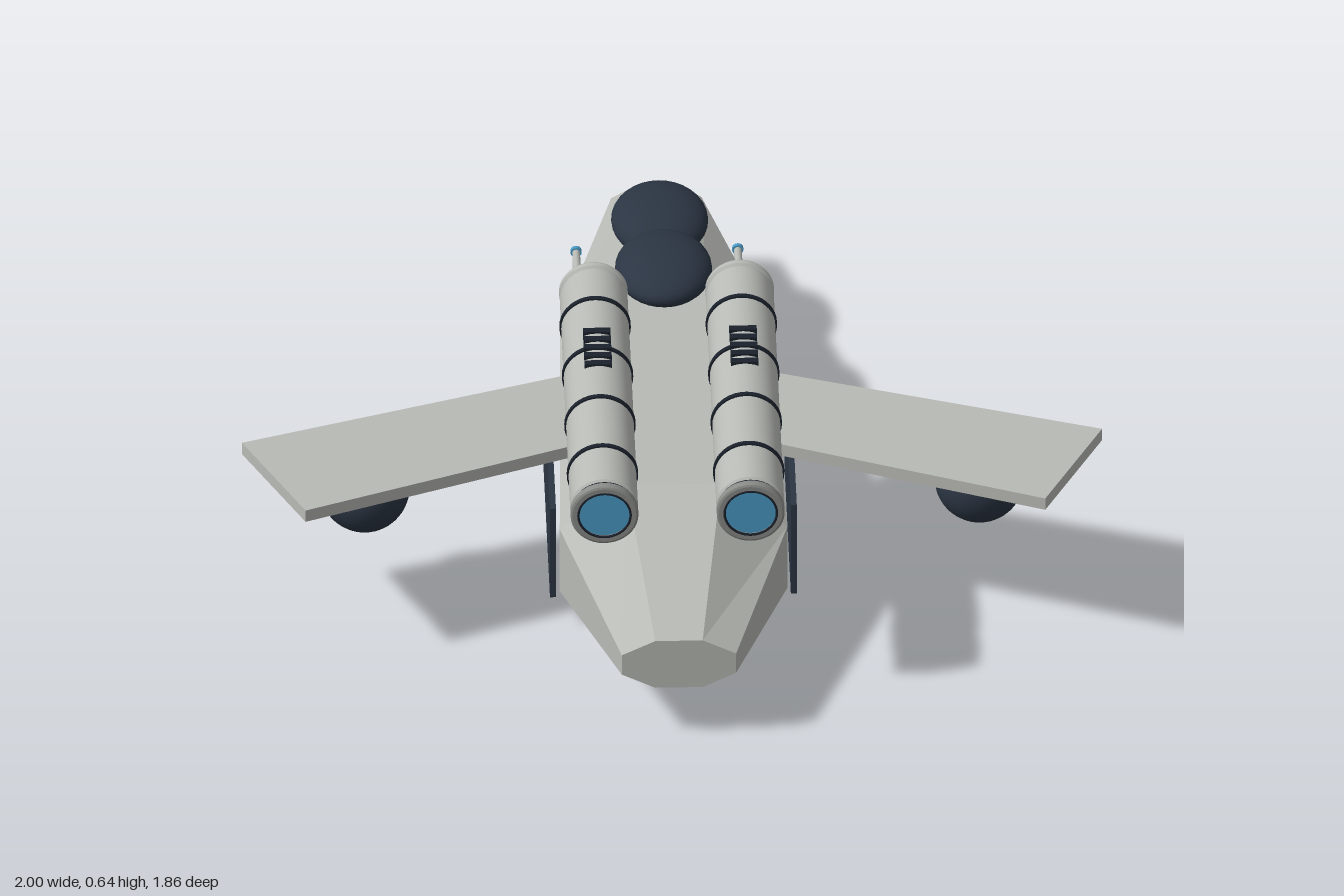
import * as THREE from 'three';

const mat = (name, color, side = THREE.FrontSide) => {
  const m = new THREE.MeshStandardMaterial({ color, side });
  m.name = name;
  return m;
};

export function createModel() {
  const hullGrey = mat('hull grey', 0xb8bab5);
  const trimGrey = mat('trim grey', 0x8a8c88);
  const navy = mat('dark navy', 0x2b3543);
  const black = mat('band black', 0x1a212b);
  const blue = mat('glow blue', 0x4a9ac4);

  const model = new THREE.Group();
  model.name = 'spacecraft';
  const add = (parent, name, geometry, material, x = 0, y = 0, z = 0) => {
    const mesh = new THREE.Mesh(geometry, material);
    mesh.name = name;
    mesh.position.set(x, y, z);
    parent.add(mesh);
    return mesh;
  };
  // Cylinder along z; r1 is the radius at the +z end
  const rod = (r1, r2, length, sides = 32) =>
    new THREE.CylinderGeometry(r1, r2, length, sides).rotateX(Math.PI / 2);
  // Lathe along z from [radius, z] points; repeated points keep an edge sharp
  const turned = (points) => {
    const sharp = points.flatMap(([r, z]) => [new THREE.Vector2(r, z), new THREE.Vector2(r, z)]);
    return new THREE.LatheGeometry(sharp.slice(1, -1), 40).rotateX(Math.PI / 2);
  };

  // Faceted hull: octagonal sections [z, half width, half height]
  const sections = [
    [-0.93, 0.105, 0.066], [-0.36, 0.24, 0.197], [0.5, 0.265, 0.21], [0.93, 0.133, 0.066],
  ];
  const positions = [], index = [];
  const k8 = 1 / Math.cos(Math.PI / 8);
  for (const [z, w, h] of sections) {
    for (let k = 0; k < 8; k++) {
      const a = (k + 0.5) * Math.PI / 4;
      positions.push(w * k8 * Math.cos(a), 0.21 + h * k8 * Math.sin(a), z);
    }
  }
  for (let s = 0; s < 3; s++) {
    for (let k = 0; k < 8; k++) {
      const a = s * 8 + k, b = s * 8 + (k + 1) % 8;
      index.push(a, b, b + 8, a, b + 8, a + 8);
    }
  }
  for (let k = 1; k < 7; k++) index.push(0, k + 1, k, 24, 24 + k, 25 + k);
  let hull = new THREE.BufferGeometry();
  hull.setAttribute('position', new THREE.Float32BufferAttribute(positions, 3));
  hull.setIndex(index);
  hull = hull.toNonIndexed();
  hull.computeVertexNormals();
  add(model, 'hull', hull, hullGrey);

  // Two canopy domes
  const dome = new THREE.SphereGeometry(1, 32, 20).scale(0.113, 0.054, 0.14);
  add(model, 'upperDome', dome, navy, 0, 0.455, -0.33);
  add(model, 'lowerDome', dome, navy, 0, 0.37, -0.65);

  // Engine geometry shared by both sides
  const casing = turned([
    [0.062, -0.075], [0.066, -0.1], [0.075, -0.105], [0.08, -0.095], [0.08, -0.085],
    [0.074, -0.08], [0.074, -0.07], [0.079, -0.065], [0.079, 0.785], [0.073, 0.79],
  ]);
  const intakeRim = turned([
    [0.073, 0.787], [0.073, 0.797], [0.079, 0.8], [0.079, 0.818], [0.074, 0.82], [0.062, 0.82], [0.06, 0.805],
  ]);

  const buildEngine = (x) => {
    const engine = new THREE.Group();
    engine.name = 'engine';
    engine.position.set(x, 0.557, 0);
    add(engine, 'engineCasing', casing, hullGrey);
    add(engine, 'engineRim', intakeRim, trimGrey);
    add(engine, 'rimGroove', rod(0.075, 0.075, 0.008), black, 0, 0, 0.795);
    add(engine, 'rimEdge', new THREE.TorusGeometry(0.061, 0.003, 8, 40), black, 0, 0, 0.819);
    add(engine, 'glowDisc', new THREE.CircleGeometry(0.061, 40), blue, 0, 0, 0.812);
    for (const z of [0.05, 0.25, 0.45, 0.65]) {
      add(engine, 'engineBand', rod(0.083, 0.083, 0.012, 40), black, 0, 0, z);
    }
    // Vents on the crown
    for (let i = 0; i < 5; i++) {
      add(engine, 'vent', new THREE.BoxGeometry(0.064, 0.012, 0.018), black, 0, 0.077, 0.183 + i * 0.033);
    }
    // Rear fan
    add(engine, 'fanBack', rod(0.064, 0.064, 0.006), black, 0, 0, -0.08);
    for (let i = 0; i < 10; i++) {
      const blade = add(engine, 'fanBlade',
        new THREE.BoxGeometry(0.009, 0.05, 0.01).translate(0, 0.039, 0), trimGrey, 0, 0, -0.09);
      blade.rotation.z = i * Math.PI / 5;
    }
    add(engine, 'fanHub', rod(0.02, 0.016, 0.035, 20), trimGrey, 0, 0, -0.097);
    model.add(engine);
  };

  for (const s of [1, -1]) {
    buildEngine(s * 0.17);

    // Swept wing with a pod beneath it
    const outline = [[0.16, 0.08], [1, 0.36], [0.86, 0.64], [0.145, 0.36]];
    const shape = new THREE.Shape(outline.map(([x, z]) => new THREE.Vector2(s * x, -z)));
    const wing = new THREE.ExtrudeGeometry(shape, { depth: 0.032, bevelEnabled: false });
    add(model, 'wing', wing.rotateX(-Math.PI / 2), hullGrey, 0, 0.428, 0);
    add(model, 'wingPod', new THREE.SphereGeometry(0.105, 32, 20), navy, s * 0.715, 0.328, 0.36);

    // Side armour plate
    add(model, 'sidePlate', new THREE.BoxGeometry(0.014, 0.25, 0.515), navy, s * 0.28, 0.213, 0.217);

    // Rear gun
    add(model, 'gunBody', rod(0.025, 0.025, 0.155, 20), navy, s * 0.19, 0.128, -0.575);
    add(model, 'gunBarrel', rod(0.011, 0.009, 0.22, 16), hullGrey, s * 0.188, 0.128, -0.76);
    add(model, 'gunTip', rod(0.013, 0.013, 0.01, 16), blue, s * 0.188, 0.128, -0.873);
  }
  return model;
}
